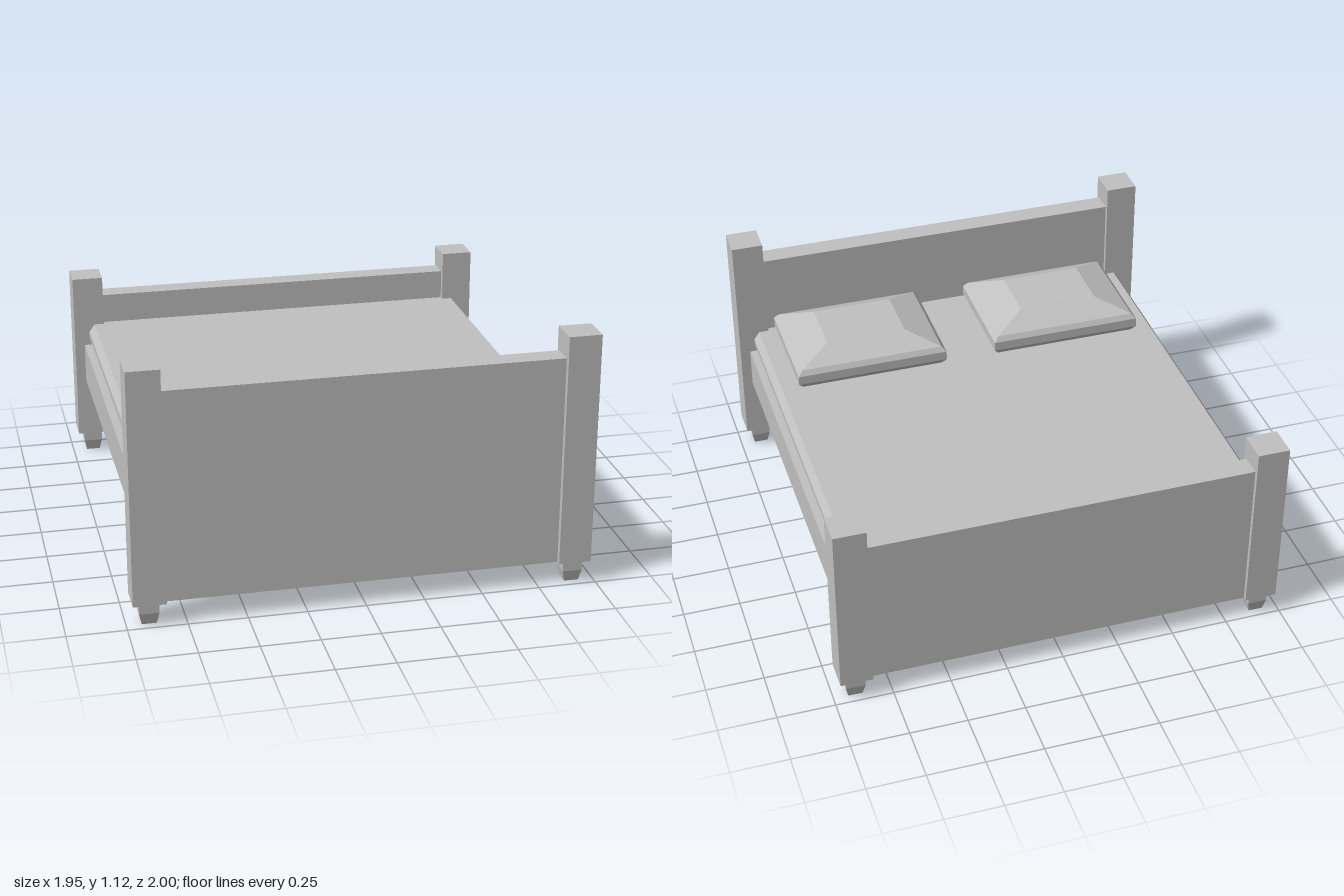
import * as THREE from 'three';

const grey = new THREE.MeshStandardMaterial({ color: 0xc0c0c0 });
grey.name = 'plain grey';

// Box given by its limits on each axis
function box(name, x0, x1, y0, y1, z0, z1) {
  const mesh = new THREE.Mesh(new THREE.BoxGeometry(x1 - x0, y1 - y0, z1 - z0), grey);
  mesh.position.set((x0 + x1) / 2, (y0 + y1) / 2, (z0 + z1) / 2);
  mesh.name = name;
  return mesh;
}

// Flat-sided solid through rectangular rings [halfX, halfZ, y], listed bottom to top
function loft(name, rings, x, z) {
  const pos = [];
  const corners = rings.map(([a, b, y]) => [[-a, y, b], [a, y, b], [a, y, -b], [-a, y, -b]]);
  const quad = (a, b, c, d) => pos.push(...a, ...b, ...c, ...a, ...c, ...d);
  for (let i = 0; i < corners.length - 1; i++) {
    const lo = corners[i], hi = corners[i + 1];
    for (let k = 0; k < 4; k++) {
      const n = (k + 1) % 4;
      quad(lo[k], lo[n], hi[n], hi[k]);
    }
  }
  quad(...corners[corners.length - 1]);
  quad(...corners[0].slice().reverse());
  const geo = new THREE.BufferGeometry();
  geo.setAttribute('position', new THREE.Float32BufferAttribute(pos, 3));
  geo.computeVertexNormals();
  const mesh = new THREE.Mesh(geo, grey);
  mesh.position.set(x, 0, z);
  mesh.name = name;
  return mesh;
}

export function createModel() {
  const bed = new THREE.Group();
  bed.name = 'doubleBed';

  // Head and foot panels
  bed.add(box('headboard', -0.84, 0.84, 0.1, 1.02, 0.88, 0.975));
  bed.add(box('footboard', -0.84, 0.84, 0.1, 0.79, -0.98, -0.885));

  // Solid frame with side rails
  bed.add(box('frame', -0.93, 0.93, 0.375, 0.555, -0.885, 0.88));

  // Mattress with bevelled long edges
  const half = [[0.88, 0.555], [0.905, 0.59], [0.905, 0.62], [0.88, 0.655]];
  const outline = [...half, ...half.map(([x, y]) => [-x, y]).reverse()];
  const shape = new THREE.Shape(outline.map(([x, y]) => new THREE.Vector2(x, y)));
  const mattress = new THREE.Mesh(
    new THREE.ExtrudeGeometry(shape, { depth: 1.765, bevelEnabled: false }), grey);
  mattress.position.z = -0.885;
  mattress.name = 'mattress';
  bed.add(mattress);

  const footRings = [[0.031, 0.031, 0], [0.042, 0.042, 0.05], [0.042, 0.042, 0.1]];
  const pillowRings = [
    [0.325, 0.238, 0.655], [0.345, 0.255, 0.68], [0.345, 0.255, 0.722],
    [0.325, 0.24, 0.745], [0.18, 0.132, 0.8],
  ];

  for (const [side, s] of [['left', 1], ['right', -1]]) {
    // Corner posts on tapered feet
    for (const [end, zs, top] of [['Head', 1, 1.12], ['Foot', -1, 0.885]]) {
      const x = s * 0.905, z = zs * 0.93;
      bed.add(box(side + end + 'Post', x - 0.07, x + 0.07, 0.1, top, z - 0.07, z + 0.07));
      bed.add(loft(side + end + 'PostFoot', footRings, x, z));
    }
    // Pillow
    bed.add(loft(side + 'Pillow', pillowRings, s * 0.46, 0.605));
  }
  return bed;
}
